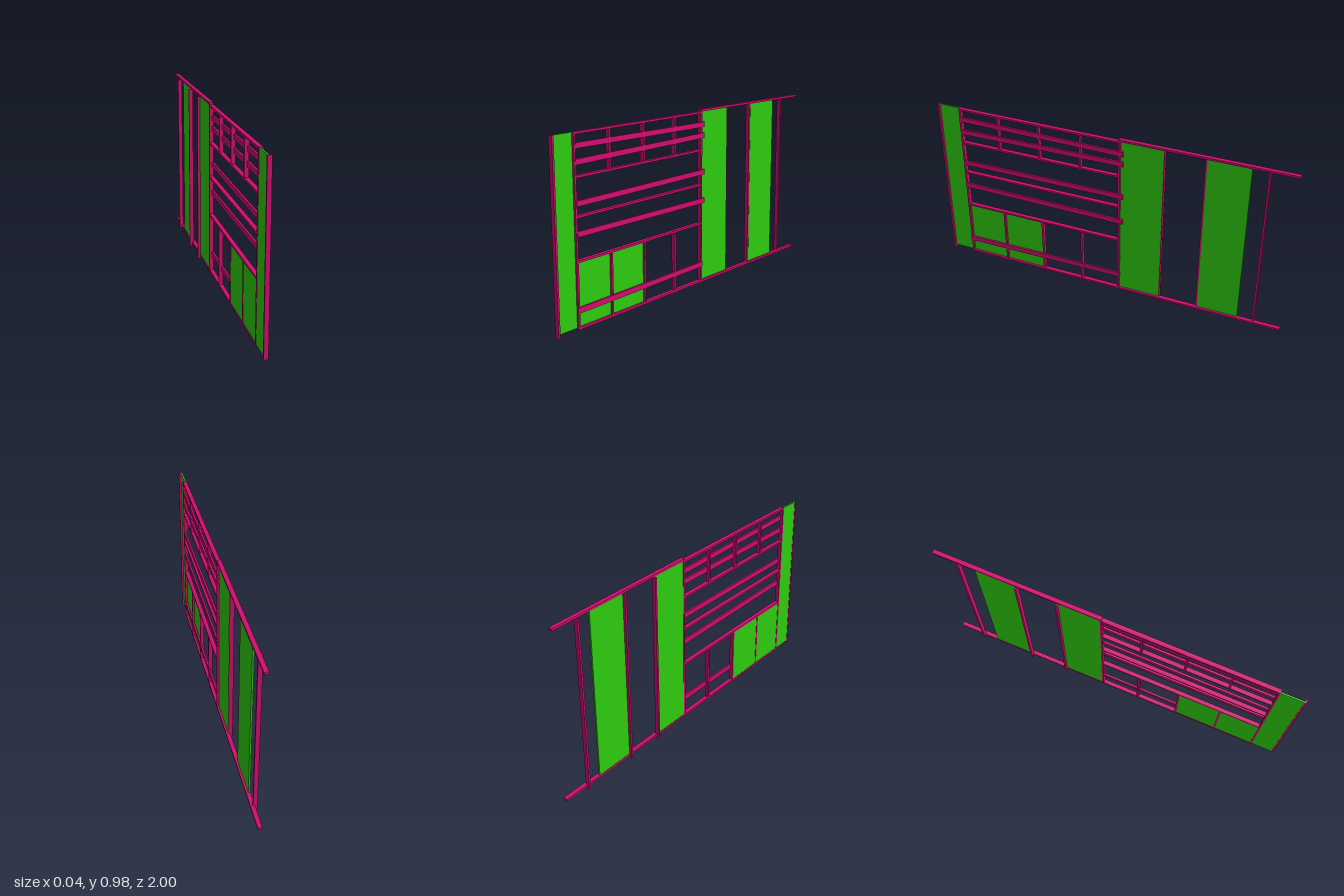
import * as THREE from 'three';

const pink = new THREE.MeshStandardMaterial({ color: 0xd00c70 });
const green = new THREE.MeshStandardMaterial({ color: 0x2ecc10 });

export function createModel() {
  const group = new THREE.Group();

  // Box from its limits on each axis
  function box(name, material, [x0, x1], [y0, y1], [z0, z1]) {
    const mesh = new THREE.Mesh(new THREE.BoxGeometry(x1 - x0, y1 - y0, z1 - z0), material);
    mesh.position.set((x0 + x1) / 2, (y0 + y1) / 2, (z0 + z1) / 2);
    mesh.name = name;
    group.add(mesh);
    return mesh;
  }

  const frameX = [-0.006, 0.017];
  const studX = [-0.019, 0.004];
  const panelX = [-0.004, 0.005];
  const t = 0.0055; // half thickness of the timber
  const around = (c) => [c - t, c + t];

  // Long top and bottom rails of the rear bay
  box('rearTopRail', pink, frameX, [0.968, 0.98], [-1, -0.066]);
  box('bottomRail', pink, frameX, [0.012, 0.024], [-1, 0.87]);

  // Horizontal rails of the front bay
  for (const y of [0.963, 0.758, 0.567, 0.35])
    box('frontBayRail', pink, frameX, around(y), [-0.066, 0.866]);

  // Full-height posts of the front bay and the end post
  box('frontBayPost', pink, frameX, [0.012, 0.969], around(0.864));
  box('frontBayPost', pink, frameX, [0.012, 0.969], around(-0.069));
  box('endPost', pink, frameX, [0.005, 0.967], [0.989, 1]);

  // Short studs above and below the open middle
  for (const z of [0.634, 0.392, 0.152]) {
    box('upperStud', pink, frameX, [0.758, 0.963], around(z));
    box('lowerStud', pink, frameX, [0.02, 0.35], around(z));
  }

  // Studs on the back of the rear bay
  for (const z of [-0.307, -0.53, -0.85])
    box('rearStud', pink, studX, [0, 0.967], around(z));

  // Sheet panels
  box('endPanel', green, panelX, [0.02, 0.967], [0.866, 0.99]);
  box('lowerPanel', green, panelX, [0.024, 0.345], [0.634, 0.86]);
  box('lowerPanel', green, panelX, [0.024, 0.345], [0.395, 0.634]);
  box('rearPanel', green, panelX, [0.012, 0.968], [-0.308, -0.075]);
  box('rearPanel', green, panelX, [0.008, 0.968], [-0.762, -0.535]);

  // Slightly tilted planks: height at front end, height at rear end, front z, rear z
  const planks = [
    [0.905, 0.897, 0.862, -0.092],
    [0.828, 0.838, 0.862, -0.092],
    [0.631, 0.637, 0.862, -0.092],
    [0.484, 0.477, 0.862, -0.092],
    [0.109, 0.116, 0.872, -0.077],
  ];
  for (const [ya, yb, za, zb] of planks) {
    const y = (ya + yb) / 2;
    const plank = box('plank', pink, [0.008, 0.019], [y - 0.014, y + 0.014], [zb, za]);
    plank.rotation.x = Math.atan2(yb - ya, za - zb);
  }
  return group;
}
